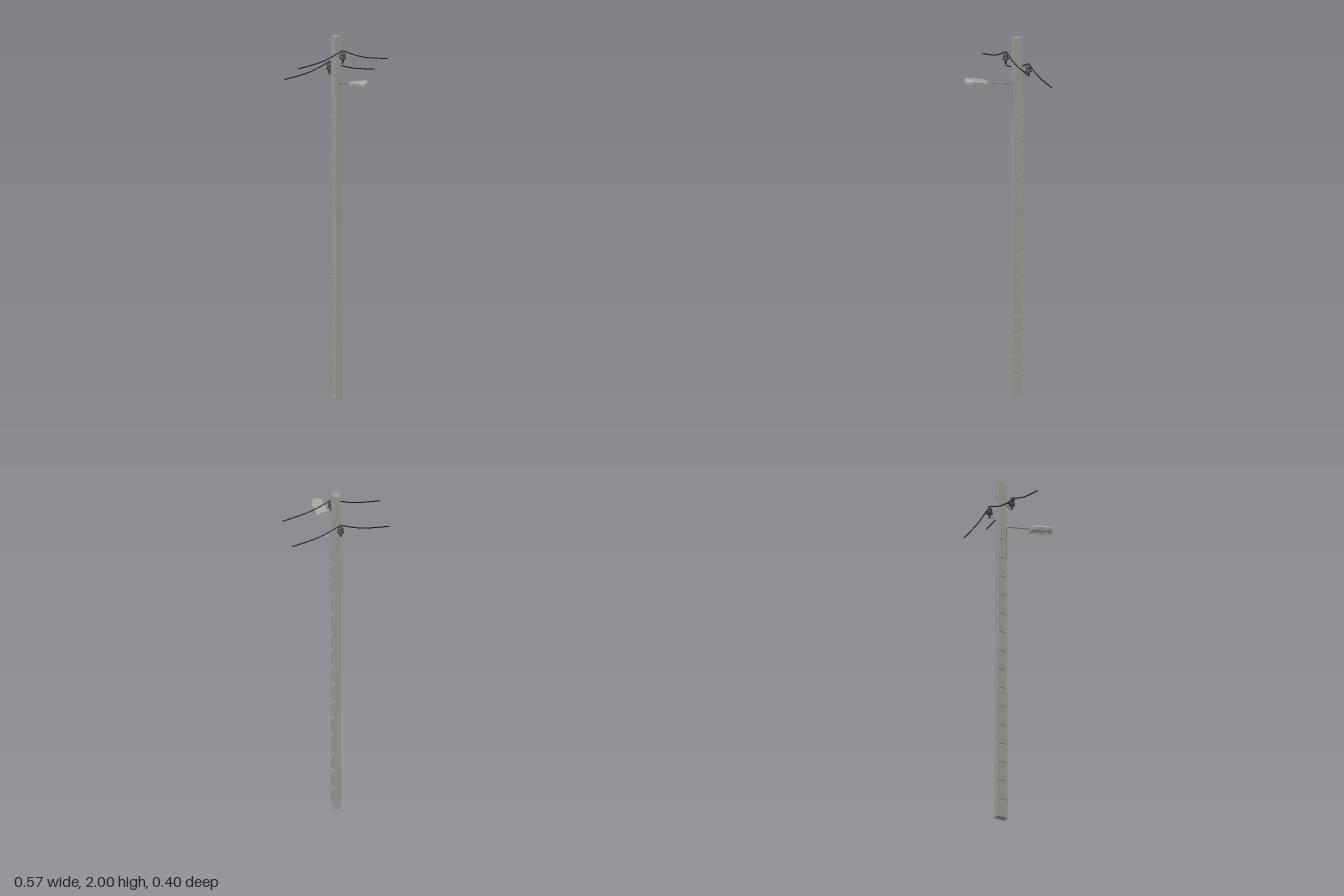
import * as THREE from 'three';

const material = (name, color, side = THREE.FrontSide) => {
  const m = new THREE.MeshStandardMaterial({ color, side });
  m.name = name;
  return m;
};

export function createModel() {
  const concrete = material('concrete', 0x9c9b94);
  const steel = material('steel', 0x8f8f8b);
  const housing = material('lamp housing', 0xa5a49c, THREE.DoubleSide);
  housing.flatShading = true;
  const glass = material('lamp glass', 0xb4b4ae, THREE.DoubleSide);
  const ceramic = material('insulator ceramic', 0x484746);
  const black = material('wire black', 0x151515);

  const model = new THREE.Group();
  model.name = 'utilityPole';
  const add = (name, geometry, mat, parent = model) => {
    const mesh = new THREE.Mesh(geometry, mat);
    mesh.name = name;
    parent.add(mesh);
    return mesh;
  };
  const v = (x, y, z) => new THREE.Vector3(x, y, z);

  // Tapered pole: a solid core between two side frames with recessed panels
  const HALF = 0.019, RECESS = 0.007;
  const frontZ = (y) => -0.08 - 0.005 * y;
  const backZ = (y) => -0.145 + 0.0055 * y;
  const trapezoid = (Type, y0, y1, inset) => new Type().setFromPoints([
    new THREE.Vector2(backZ(y0) + inset, y0), new THREE.Vector2(frontZ(y0) - inset, y0),
    new THREE.Vector2(frontZ(y1) - inset, y1), new THREE.Vector2(backZ(y1) + inset, y1),
  ]);
  const slab = (shape, x0, x1) =>
    new THREE.ExtrudeGeometry(shape, { depth: x1 - x0, bevelEnabled: false })
      .rotateY(-Math.PI / 2).translate(x1, 0, 0);
  const core = HALF - RECESS;
  add('poleCore', slab(trapezoid(THREE.Shape, 0, 2, 0), -core, core), concrete);
  const frame = trapezoid(THREE.Shape, 0, 2, 0);
  for (let i = 0; i < 15; i++) {
    const y = 0.01 + i * 0.111;
    frame.holes.push(trapezoid(THREE.Path, y, y + 0.097, 0.006));
  }
  add('poleSideLeft', slab(frame, core, HALF), concrete);
  add('poleSideRight', slab(frame, -HALF, -core), concrete);

  // Bent lamp arm, strapped to the front of the pole
  const arm = new THREE.CurvePath();
  arm.add(new THREE.LineCurve3(v(0, 1.55, -0.081), v(0, 1.728, -0.081)));
  arm.add(new THREE.QuadraticBezierCurve3(v(0, 1.728, -0.081), v(0, 1.747, -0.081), v(0, 1.75, -0.062)));
  arm.add(new THREE.LineCurve3(v(0, 1.75, -0.062), v(0, 1.772, 0.085)));
  add('lampArm', new THREE.TubeGeometry(arm, 60, 0.0045, 8), steel);
  const armFoot = add('lampArmFoot', new THREE.CircleGeometry(0.0045, 8).rotateX(Math.PI / 2), steel);
  armFoot.position.set(0, 1.55, -0.081);
  for (const y of [1.58, 1.7]) {
    add('armStandoff', new THREE.BoxGeometry(0.008, 0.01, 0.01), steel).position.set(0, y, -0.086);
  }

  // Lamp head lofted from sections: z, half width, bottom y, top y
  const sections = [
    [0.073, 0.032, 1.757, 1.779], [0.079, 0.035, 1.757, 1.782], [0.13, 0.035, 1.763, 1.793],
    [0.165, 0.035, 1.768, 1.799], [0.182, 0.027, 1.77, 1.8], [0.194, 0.018, 1.772, 1.796],
    [0.2, 0.012, 1.773, 1.79],
  ];
  const pos = [], idx = [], N = 6;
  sections.forEach(([z, w, b, t], s) => {
    const mid = b + (t - b) * 0.55;
    pos.push(w * 0.93, b, z, w, mid, z, w * 0.7, t, z, -w * 0.7, t, z, -w, mid, z, -w * 0.93, b, z);
    if (s === 0) return;
    for (let k = 0; k < N - 1; k++) {
      const a = (s - 1) * N + k, c = a + N;
      idx.push(a, a + 1, c, a + 1, c + 1, c);
    }
  });
  const last = (sections.length - 1) * N;
  for (let k = 1; k < N - 1; k++) {
    idx.push(0, k + 1, k);
    idx.push(last, last + k, last + k + 1);
  }
  const shell = new THREE.BufferGeometry();
  shell.setAttribute('position', new THREE.Float32BufferAttribute(pos, 3));
  shell.setIndex(idx);
  shell.computeVertexNormals();
  add('lampHousing', shell, housing);

  // Underside: rim following the housing edge, with glass set slightly above it
  const outline = (Type, scale) => {
    const side = sections.map(([z, w]) =>
      new THREE.Vector2(w * 0.93 * scale, 0.137 + (z - 0.137) * scale));
    const mirrored = side.map((p) => new THREE.Vector2(-p.x, p.y)).reverse();
    return new Type().setFromPoints([...side, ...mirrored]);
  };
  const layFlat = (geometry, lift) => {
    geometry.rotateX(Math.PI / 2);
    const p = geometry.attributes.position;
    for (let i = 0; i < p.count; i++) {
      p.setY(i, p.getY(i) + 1.757 + (p.getZ(i) - 0.073) * 0.126 + lift);
    }
    geometry.computeVertexNormals();
    return geometry;
  };
  const rim = outline(THREE.Shape, 1);
  rim.holes.push(outline(THREE.Path, 0.8));
  add('lampRim', layFlat(new THREE.ShapeGeometry(rim), 0.0005), housing);
  add('lampGlass', layFlat(new THREE.ShapeGeometry(outline(THREE.Shape, 0.88)), 0.006), glass);

  // Insulator on a hook bolted through the pole, carrying a sagging wire
  const profile = [
    [0, -0.072], [0.006, -0.072], [0.007, -0.05], [0.019, -0.046], [0.016, -0.034], [0.009, -0.03],
    [0.016, -0.026], [0.014, -0.016], [0.008, -0.012], [0.007, -0.006], [0.009, -0.002], [0, 0.002],
  ].map(([r, y]) => new THREE.Vector2(r, y));
  const wireSupport = (name, y, z, dir) => {
    const group = new THREE.Group();
    group.name = name;
    group.position.set(0, y, z);
    model.add(group);
    add('insulator', new THREE.LatheGeometry(profile, 16), ceramic, group);
    const hook = new THREE.CatmullRomCurve3([
      v(0, -0.02, -0.05 * dir), v(0, -0.022, -0.038 * dir), v(0, -0.045, -0.03 * dir),
      v(0, -0.066, -0.018 * dir), v(0, -0.072, -0.006 * dir), v(0, -0.06, 0),
    ]);
    add('hook', new THREE.TubeGeometry(hook, 24, 0.004, 8), steel, group);
    const bolt = add('throughBolt', new THREE.CylinderGeometry(0.003, 0.003, 0.065, 8).rotateX(Math.PI / 2), steel, group);
    bolt.position.set(0, -0.02, -0.072 * dir);
    const nut = add('nut', new THREE.CylinderGeometry(0.006, 0.006, 0.005, 6).rotateX(Math.PI / 2), steel, group);
    nut.position.set(0, -0.02, -0.094 * dir);
    for (const s of [1, -1]) {
      const wire = new THREE.CatmullRomCurve3([
        v(0, 0, 0), v(s * 0.05, -0.022, 0), v(s * 0.125, -0.048, 0),
        v(s * 0.2, -0.062, 0), v(s * 0.283, -0.073, 0),
      ]);
      add(s > 0 ? 'wireLeft' : 'wireRight', new THREE.TubeGeometry(wire, 16, 0.0028, 6), black, group);
      const cap = add('wireEnd', new THREE.CircleGeometry(0.0028, 6).rotateY(s * Math.PI / 2), black, group);
      cap.position.set(s * 0.283, -0.073, 0);
    }
  };
  wireSupport('frontWireSupport', 1.93, -0.045, 1);
  wireSupport('backWireSupport', 1.848, -0.183, -1);

  return model;
}
